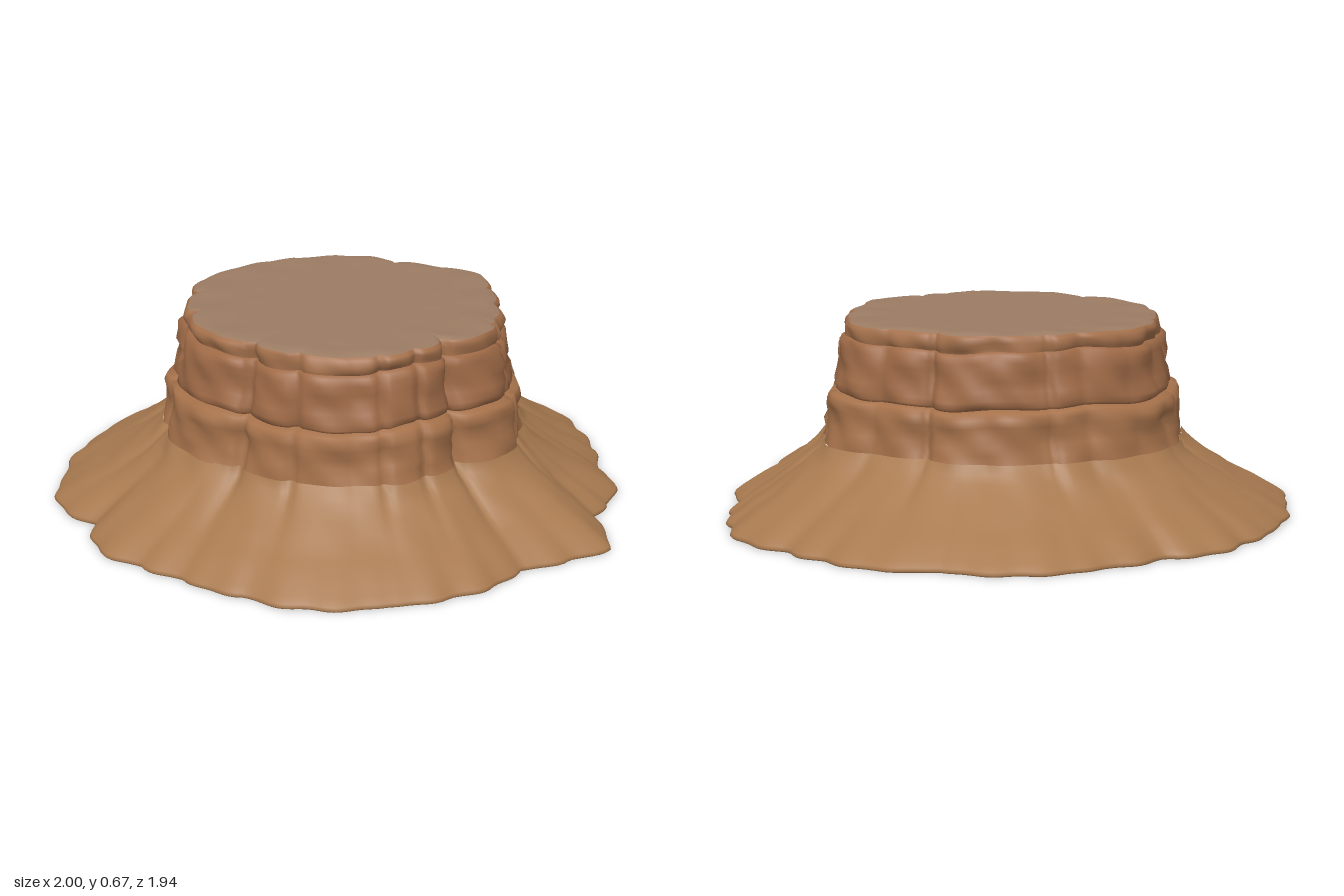
import * as THREE from 'three';

const SEG = 288;

// Plan outlines as [angle in degrees from +x towards +z, radius]
const SKIRT = [
  [0, 0.99], [10, 0.95], [20, 0.92], [31, 0.88], [41, 0.93], [50, 0.9], [58, 0.88], [70, 1.02],
  [78, 0.96], [89, 0.9], [97, 0.945], [107, 0.965], [119, 0.975], [133, 1.0], [146, 0.965],
  [160, 0.945], [170, 0.96], [180, 1.0], [192, 0.93], [203, 1.015], [217, 1.0], [236, 1.0],
  [249, 0.985], [259, 0.985], [268, 0.925], [283, 0.935], [299, 0.965], [314, 0.925],
  [325, 0.965], [337, 0.955], [347, 0.95],
];
const CLIFF = [
  [0, 0.63], [19, 0.595], [38, 0.57], [55, 0.61], [73, 0.645], [89, 0.585], [104, 0.635],
  [125, 0.65], [143, 0.645], [161, 0.605], [180, 0.655], [202, 0.635], [225, 0.635],
  [241, 0.65], [256, 0.65], [273, 0.61], [288, 0.6], [306, 0.595], [328, 0.56], [347, 0.585],
];

// Radius at an angle: lobes that bulge between creased control points
function outline(points, deg, bulge) {
  const n = points.length;
  let i = n - 1;
  while (points[i][0] > deg) i--;
  const [a0, r0] = points[i];
  const [a1, r1] = i + 1 < n ? points[i + 1] : [360, points[0][1]];
  const f = (deg - a0) / (a1 - a0);
  return r0 + (r1 - r0) * f + bulge * Math.sin(Math.PI * f);
}

// Small ripples that give the rock its eroded surface
function ripple(a, y) {
  return 0.004 * Math.sin(9 * a + 31 * y) + 0.003 * Math.sin(23 * a - 47 * y)
    + 0.003 * Math.sin(5 * a + 95 * y);
}

// Narrow vertical cracks: [angle, depth]
const CRACKS = [[20, 0.02], [62, 0.025], [89, 0.025], [103, 0.02], [116, 0.02], [143, 0.02],
  [162, 0.025], [203, 0.025], [226, 0.02], [285, 0.015], [327, 0.02]];
function crack(deg) {
  return CRACKS.reduce((s, [c, d]) => s + d * Math.exp(-(((deg - c) / 1.4) ** 2)), 0);
}

// Surface through closed rings; ring(row, angle, degrees) gives [radius, height]
function ringSurface(name, color, rows, ring) {
  const pos = [], index = [];
  rows.forEach((row, i) => {
    for (let j = 0; j < SEG; j++) {
      const deg = (j / SEG) * 360, a = THREE.MathUtils.degToRad(deg);
      const [r, y] = ring(row, a, deg);
      pos.push(r * Math.cos(a), y, r * Math.sin(a));
      if (i === 0) continue;
      const k = (j + 1) % SEG, up = (i - 1) * SEG, dn = i * SEG;
      index.push(up + j, up + k, dn + j, up + k, dn + k, dn + j);
    }
  });
  const geo = new THREE.BufferGeometry();
  geo.setAttribute('position', new THREE.Float32BufferAttribute(pos, 3));
  geo.setIndex(index);
  geo.computeVertexNormals();
  const mesh = new THREE.Mesh(geo, new THREE.MeshStandardMaterial({ color }));
  mesh.name = name;
  return mesh;
}

// Cliff ring: row = [scale of the cliff outline, height]
function cliffRing([scale, y], a, deg) {
  const wave = 0.006 * Math.sin(4 * a + 1) + 0.004 * Math.sin(11 * a);
  const r = outline(CLIFF, deg, 0.012) * scale + ripple(a, y) - crack(deg) * 0.8;
  return [r, y > 0.65 ? y + wave * 0.3 : y + wave];
}

// Skirt ring: row = [blend from cliff foot to outer edge, height]
function skirtRing([t, y], a, deg) {
  const inner = outline(CLIFF, deg, 0.012) * 1.0 - crack(deg) * 0.8 * (1 - t);
  const outer = outline(SKIRT, deg, 0.014);
  const edge = 0.006 * Math.sin(37 * a) * t * t;
  return [inner + (outer - inner) * t + edge + ripple(a, y) * (1 - t), y];
}

export function createModel() {
  const group = new THREE.Group();
  group.name = 'rockMesa';

  // Flat weathered summit, slightly uneven near its edge
  group.add(ringSurface('summit', 0x9c7c64, [0, 0.3, 0.6, 0.8, 0.9, 0.96, 1], (t, a, deg) => {
    const [r, y] = cliffRing([0.85, 0.665], a, deg);
    const bump = 0.003 * Math.sin(13 * a) * Math.sin(t * 9);
    return [r * t, t === 1 ? y : 0.671 + bump * t];
  }));

  // Cap layer, upper and lower cliff bands, each overhanging a thin recess
  group.add(ringSurface('capLayer', 0xa5714c,
    [[0.85, 0.665], [0.865, 0.657], [0.872, 0.64], [0.865, 0.622], [0.86, 0.612]], cliffRing));
  group.add(ringSurface('upperCliff', 0xa06b47,
    [[0.86, 0.612], [0.888, 0.604], [0.895, 0.58], [0.905, 0.55], [0.9, 0.52], [0.915, 0.49],
      [0.925, 0.46], [0.928, 0.44], [0.91, 0.43]], cliffRing));
  group.add(ringSurface('lowerCliff', 0xa5714a,
    [[0.91, 0.43], [0.955, 0.424], [0.972, 0.405], [0.975, 0.38], [0.965, 0.35], [0.978, 0.32],
      [0.985, 0.29], [1.0, 0.255]], cliffRing));

  // Flared talus skirt
  group.add(ringSurface('talusSkirt', 0xa87a50,
    [[0, 0.265], [0.06, 0.235], [0.14, 0.21], [0.25, 0.18], [0.38, 0.15], [0.48, 0.125],
      [0.6, 0.1], [0.71, 0.08], [0.82, 0.055], [0.92, 0.032], [0.985, 0.015], [1, 0.006],
      [0.985, 0]], skirtRing));

  // Flat underside
  group.add(ringSurface('underside', 0x7a5a40, [1, 0.5, 0], (t, a, deg) => {
    const [r] = skirtRing([0.985, 0], a, deg);
    return [r * t, 0];
  }));
  return group;
}
